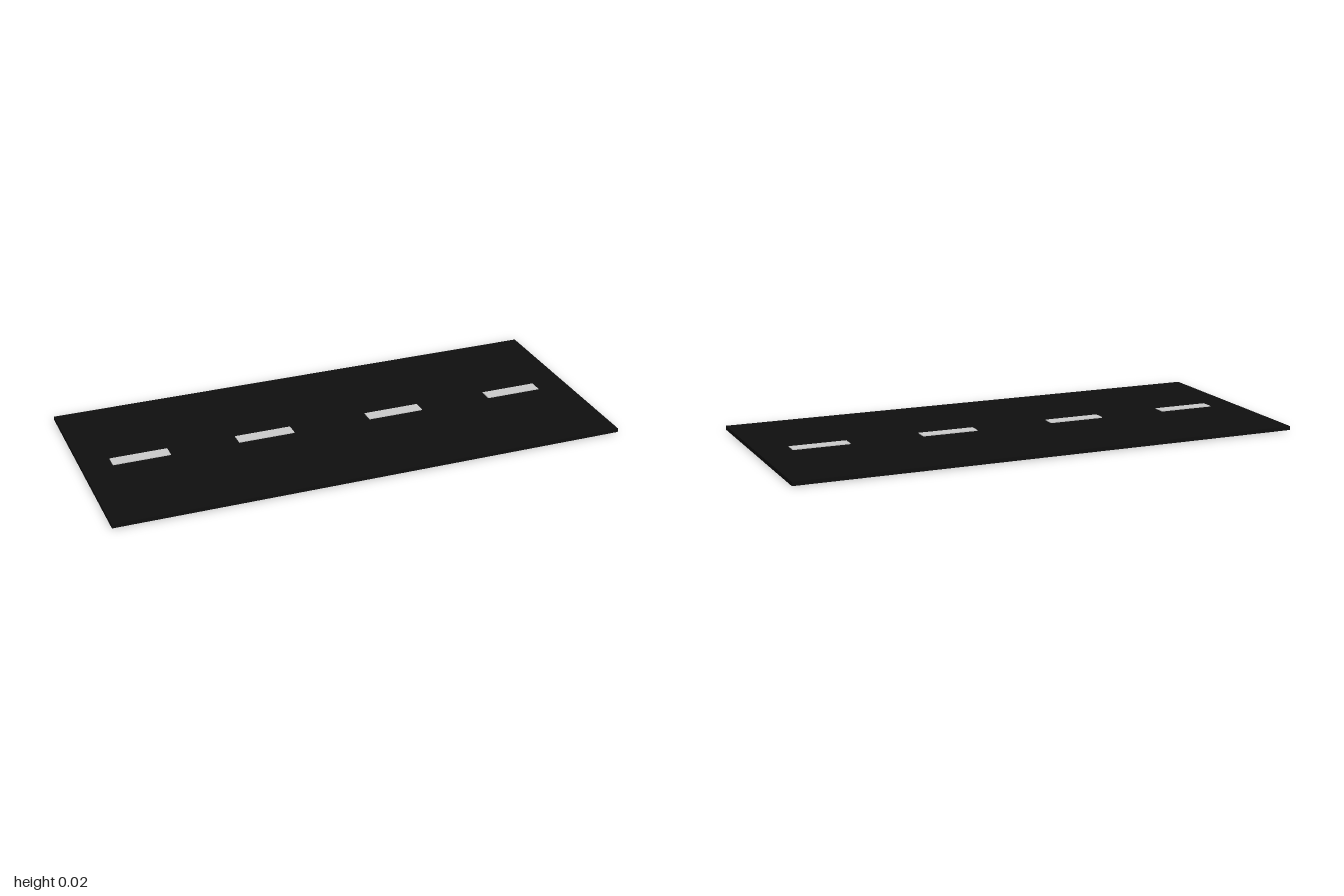
import * as THREE from 'three';

export function createModel() {
  const road = new THREE.Group();
  road.name = 'road';

  const addBox = (name, size, position, material) => {
    const mesh = new THREE.Mesh(new THREE.BoxGeometry(...size), material);
    mesh.name = name;
    mesh.position.set(...position);
    road.add(mesh);
  };

  // Flat asphalt slab
  const asphalt = new THREE.MeshStandardMaterial({ color: 0x0f0f0f });
  addBox('asphalt', [2, 0.015, 0.884], [0, 0.0105, 0], asphalt);

  // Centre-line dashes, slightly thicker than the slab so they show on both faces
  const paint = new THREE.MeshStandardMaterial({ color: 0xcccccc });
  [-0.775, -0.284, 0.249, 0.76].forEach((x, i) => {
    addBox(`laneDash${i + 1}`, [0.223, 0.021, 0.052], [x, 0.0105, 0], paint);
  });

  return road;
}
